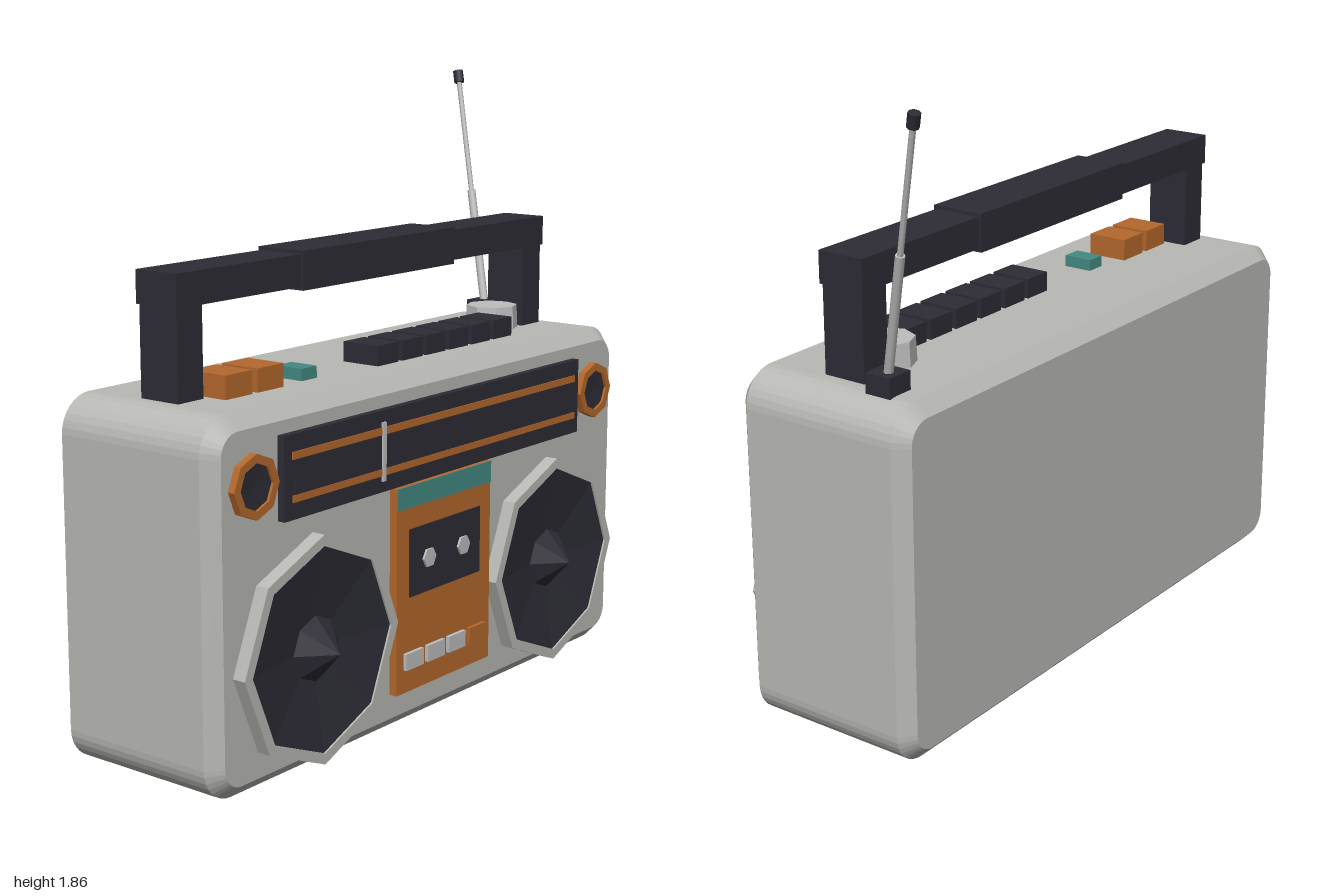
import * as THREE from 'three';

const paint = (name, color) => {
  const m = new THREE.MeshStandardMaterial({ color });
  m.name = name;
  return m;
};

export function createModel() {
  const shell = paint('shell grey', 0xb8b8b4);
  const silver = paint('silver', 0xbebebe);
  const dark = paint('charcoal', 0x2d2c36);
  const orange = paint('orange', 0xb5682c);
  const teal = paint('teal', 0x458a83);

  const model = new THREE.Group();
  model.name = 'radioCassettePlayer';
  const CX = -0.02, FRONT = 0.289, TOP = 1.05;

  const add = (name, geometry, material, x = 0, y = 0, z = 0, parent = model) => {
    const mesh = new THREE.Mesh(geometry, material);
    mesh.name = name;
    mesh.position.set(x, y, z);
    parent.add(mesh);
    return mesh;
  };
  // Box given by its limits on each axis
  const box = (name, material, x0, x1, y0, y1, z0, z1) =>
    add(name, new THREE.BoxGeometry(x1 - x0, y1 - y0, z1 - z0), material,
      (x0 + x1) / 2, (y0 + y1) / 2, (z0 + z1) / 2);
  const faceted = (geometry) => {
    const g = geometry.index ? geometry.toNonIndexed() : geometry;
    g.computeVertexNormals();
    return g;
  };
  // Eight-sided turned part facing the front
  const turned = (points) => faceted(new THREE.LatheGeometry(
    points.map(([r, h]) => new THREE.Vector2(r, h)), 8).rotateX(Math.PI / 2));

  // Body: rounded rectangle with a chamfer front and back
  const bevel = 0.04, w = 0.98 - bevel, y0 = bevel, y1 = TOP - bevel, r = 0.065;
  const outline = new THREE.Shape();
  outline.moveTo(-w + r, y0);
  outline.lineTo(w - r, y0);
  outline.absarc(w - r, y0 + r, r, -Math.PI / 2, 0);
  outline.absarc(w - r, y1 - r, r, 0, Math.PI / 2);
  outline.absarc(-w + r, y1 - r, r, Math.PI / 2, Math.PI);
  outline.absarc(-w + r, y0 + r, r, Math.PI, Math.PI * 1.5);
  const body = new THREE.ExtrudeGeometry(outline, {
    depth: 0.584 - 2 * bevel, bevelEnabled: true, bevelSize: bevel,
    bevelThickness: bevel, bevelSegments: 1, curveSegments: 4,
  });
  add('body', body, shell, CX, 0, -0.295 + bevel);

  // Speakers and tweeters, mirrored about the body centre
  for (const side of [-1, 1]) {
    const speaker = new THREE.Group();
    speaker.name = side > 0 ? 'leftSpeaker' : 'rightSpeaker';
    speaker.position.set(CX + side * 0.575, 0.348, FRONT);
    model.add(speaker);
    add('speakerRing', turned([[0.33, 0], [0.33, 0.042], [0.298, 0.042], [0.298, 0]]), shell, 0, 0, 0, speaker);
    add('speakerCone', turned([[0.298, 0.036], [0.06, 0.004]]), dark, 0, 0, 0, speaker);
    add('dustCap', turned([[0.097, 0.007], [0, 0.096]]), dark, 0, 0, 0, speaker);

    const tweeter = new THREE.Group();
    tweeter.name = side > 0 ? 'leftTweeter' : 'rightTweeter';
    tweeter.position.set(CX + side * 0.825, 0.856, FRONT);
    model.add(tweeter);
    add('tweeterRing', turned([[0.09, 0], [0.09, 0.022], [0.065, 0.022], [0.065, 0]]), orange, 0, 0, 0, tweeter);
    add('tweeterCone', turned([[0.065, 0.014], [0, 0.01]]), dark, 0, 0, 0, tweeter);
  }

  // Tuner dial
  box('tunerPanel', dark, -0.738, 0.698, 0.738, 0.973, 0.27, 0.312);
  box('tunerWindow', dark, -0.696, 0.666, 0.805, 0.904, 0.31, 0.314);
  box('upperDialLine', orange, -0.706, 0.674, 0.904, 0.925, 0.31, 0.316);
  box('lowerDialLine', orange, -0.706, 0.674, 0.786, 0.806, 0.31, 0.316);
  box('tunerNeedle', silver, -0.32, -0.305, 0.77, 0.94, 0.31, 0.319);

  // Cassette deck
  box('cassetteDoor', orange, -0.251, 0.211, 0.115, 0.733, 0.27, 0.315);
  box('cassetteHeader', teal, -0.251, 0.211, 0.668, 0.733, 0.314, 0.318);
  box('cassetteWindow', dark, -0.194, 0.154, 0.401, 0.604, 0.314, 0.319);
  for (const x of [-0.105, 0.065]) {
    const hub = new THREE.CylinderGeometry(0.03, 0.03, 0.012, 6).rotateX(Math.PI / 2).rotateZ(Math.PI / 6);
    add('reelHub', faceted(hub), silver, x, 0.503, 0.32);
  }
  for (let i = 0; i < 4; i++) {
    const x = -0.177 + i * 0.105;
    box('deckButton', i < 3 ? silver : orange, x - 0.042, x + 0.042, 0.186, 0.236, 0.31, 0.327);
  }

  // Controls on the top
  for (const x of [-0.705, -0.575]) {
    box('modeButton', orange, x - 0.054, x + 0.054, TOP - 0.01, 1.117, -0.005, 0.125);
  }
  box('powerButton', teal, -0.429, -0.363, TOP - 0.01, 1.085, 0.02, 0.113);
  for (let i = 0; i < 6; i++) {
    const x = -0.07 + i * 0.1176;
    box('pianoKey', dark, x - 0.049, x + 0.049, TOP - 0.01, 1.11, 0.012, 0.142);
  }
  add('volumeKnob', faceted(new THREE.CylinderGeometry(0.082, 0.086, 0.08, 8)), silver, 0.665, 1.083, -0.003);

  // Carrying handle
  for (const side of [-1, 1]) {
    const x = CX + side * 0.81;
    box('handlePost', dark, x - 0.049, x + 0.049, TOP - 0.02, 1.32, -0.071, 0.065);
  }
  box('handleBar', dark, -0.885, 0.845, 1.307, 1.4, -0.077, 0.071);
  box('handleGrip', dark, -0.38, 0.34, 1.297, 1.41, -0.086, 0.08);

  // Telescopic aerial leaning back and outwards
  box('antennaBase', dark, 0.797, 0.882, TOP - 0.01, 1.105, -0.195, -0.111);
  const foot = new THREE.Vector3(0.84, 1.08, -0.153);
  const tip = new THREE.Vector3(0.984, 1.852, -0.376);
  const direction = tip.clone().sub(foot).normalize();
  const rod = (name, material, radius, from, to) => {
    const a = foot.clone().lerp(tip, from), b = foot.clone().lerp(tip, to);
    const mesh = add(name, new THREE.CylinderGeometry(radius, radius, a.distanceTo(b), 8), material);
    mesh.position.copy(a).lerp(b, 0.5);
    mesh.quaternion.setFromUnitVectors(new THREE.Vector3(0, 1, 0), direction);
  };
  rod('antennaLower', silver, 0.0135, 0, 0.49);
  rod('antennaUpper', silver, 0.0085, 0.48, 0.97);
  rod('antennaTip', dark, 0.017, 0.95, 1);

  return model;
}
